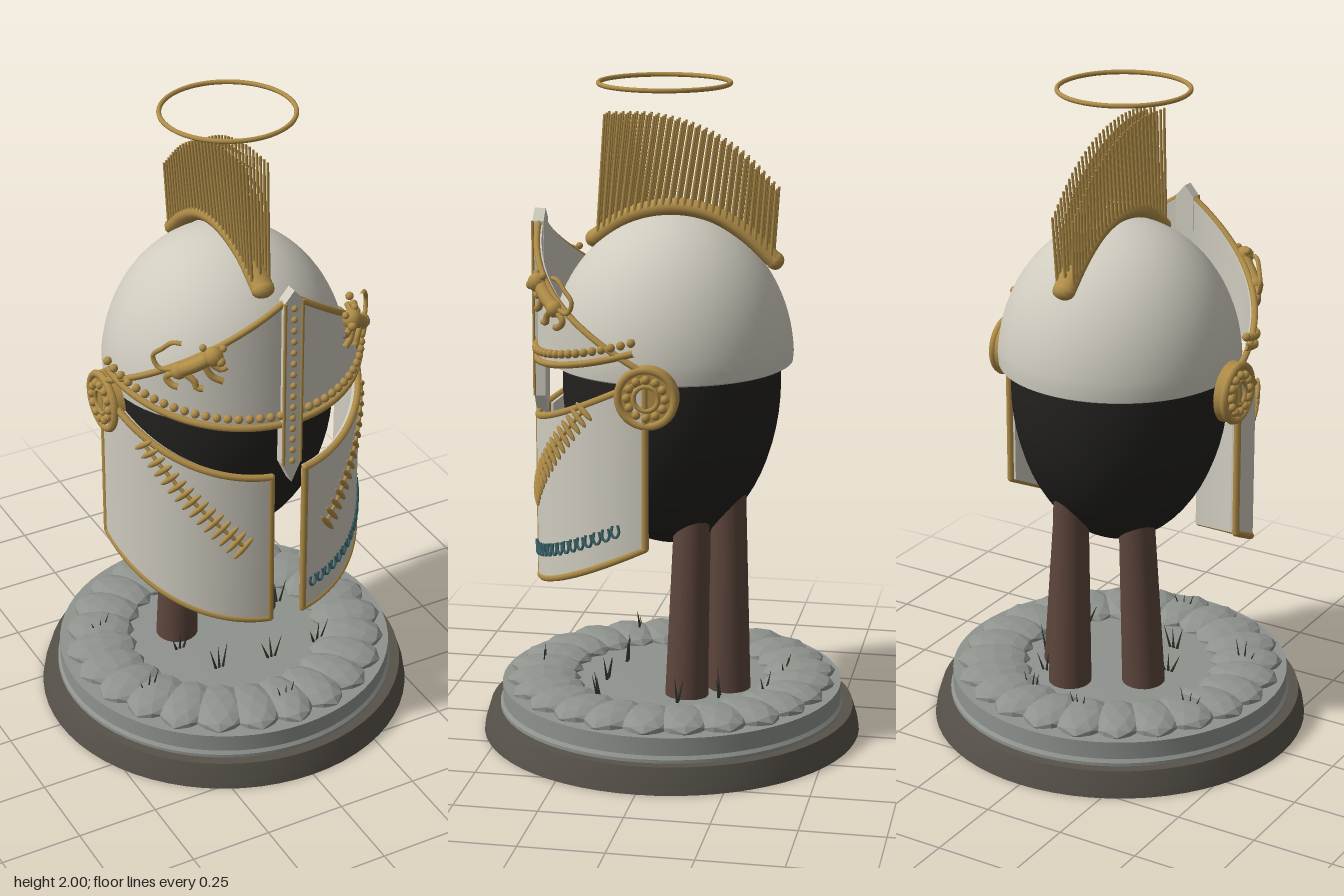
import * as THREE from 'three';
import { toCreasedNormals } from 'three/addons/utils/BufferGeometryUtils.js';

const mat = (color, extra = {}) => {
  const m = new THREE.MeshStandardMaterial(extra);
  m.color.set(color);
  return m;
};
const V = (x, y, z) => new THREE.Vector3(x, y, z);
const UP = V(0, 1, 0);

// Point on the curved face armour: angle t from the front, height y, radius r
const on = (t, y, r) => V(r * Math.sin(t), y, r * Math.cos(t));

// Curved plate with thickness between two height rules
function plateGeometry(t0, t1, bottom, top, rOut, thick, n = 28) {
  const pos = [], idx = [];
  for (let i = 0; i <= n; i++) {
    const t = t0 + ((t1 - t0) * i) / n, b = bottom(t), h = Math.max(top(t), b + 0.002);
    for (const [y, r] of [[b, rOut], [h, rOut], [h, rOut - thick], [b, rOut - thick]]) pos.push(...on(t, y, r).toArray());
    if (i < n) for (let j = 0; j < 4; j++) {
      const a = i * 4 + j, b2 = i * 4 + ((j + 1) % 4);
      idx.push(a, a + 4, b2 + 4, a, b2 + 4, b2);
    }
  }
  const e = n * 4;
  idx.push(0, 1, 2, 0, 2, 3, e, e + 2, e + 1, e, e + 3, e + 2);
  const g = new THREE.BufferGeometry();
  g.setAttribute('position', new THREE.Float32BufferAttribute(pos, 3));
  g.setIndex(idx);
  return toCreasedNormals(g, 0.6);
}

export function createModel() {
  const model = new THREE.Group();
  const ivory = mat(0xcfcbbf), gold = mat(0xb08d48), dark = mat(0x22211f), wood = mat(0x5c453b);
  const stone = mat(0x8f938e), rock = mat(0x8f938e, { flatShading: true }), plinth = mat(0x58534b);
  const teal = mat(0x3d686e), green = mat(0x34382c);
  let seed = 7;
  const rand = () => (seed = (seed * 16807) % 2147483647) / 2147483647;

  const add = (name, geo, m, parent = model) => {
    const mesh = new THREE.Mesh(geo, m);
    mesh.name = name;
    parent.add(mesh);
    return mesh;
  };
  const group = (name) => {
    const g = new THREE.Group();
    g.name = name;
    model.add(g);
    return g;
  };
  const tube = (name, pts, r, m, parent, sides = 7) =>
    add(name, new THREE.TubeGeometry(new THREE.CatmullRomCurve3(pts), Math.max(12, pts.length * 3), r, sides), m, parent);
  const ball = (name, p, r, m, parent) => {
    const b = add(name, new THREE.SphereGeometry(r, 10, 8), m, parent);
    b.position.copy(p);
    return b;
  };
  const lathe = (name, pts, m, seg = 64) =>
    add(name, toCreasedNormals(new THREE.LatheGeometry(pts.map((p) => new THREE.Vector2(...p)), seg), 0.5), m);
  // Tapered rod between two points
  const rod = (name, a, b, ra, rb, m, parent, sides = 6) => {
    const o = add(name, new THREE.CylinderGeometry(rb, ra, a.distanceTo(b), sides), m, parent);
    o.position.copy(a).add(b).multiplyScalar(0.5);
    o.quaternion.setFromUnitVectors(UP, b.clone().sub(a).normalize());
    return o;
  };
  const arc = (t0, t1, f, r, n = 20) =>
    Array.from({ length: n + 1 }, (_, i) => { const t = t0 + ((t1 - t0) * i) / n; return on(t, f(t), r); });

  // Stepped round base
  lathe('plinth', [[0, 0], [0.58, 0], [0.575, 0.03], [0.56, 0.08], [0, 0.08]], plinth);
  lathe('baseStep', [[0, 0.08], [0.53, 0.08], [0.53, 0.09], [0.522, 0.1], [0.522, 0.155], [0, 0.165]], stone);

  // Ring of flat stones
  const stones = group('stoneRing');
  for (let i = 0; i < 24; i++) {
    const a = (i / 24) * Math.PI * 2;
    const s = add('stone', new THREE.IcosahedronGeometry(1, 1), rock, stones);
    s.scale.set(0.078 + rand() * 0.012, 0.036, 0.108 + rand() * 0.01);
    s.position.set(Math.sin(a) * 0.395, 0.16, Math.cos(a) * 0.395);
    s.rotation.y = a + (rand() - 0.5) * 0.2;
  }

  // Grass tufts
  const grass = group('grass');
  for (let i = 0; i < 11; i++) {
    const a = i * 2.4, r = 0.12 + 0.3 * rand();
    for (let k = 0; k < 3; k++) {
      const p = V(Math.sin(a) * r + (k - 1) * 0.012, 0.16, Math.cos(a) * r);
      rod('blade', p, p.clone().add(V((k - 1) * 0.02, 0.05 + rand() * 0.035, (rand() - 0.5) * 0.03)), 0.005, 0.0005, green, grass, 4);
    }
  }

  // Three legs
  for (const [x, z, tx, tz] of [[-0.13, -0.075, -0.105, -0.085], [0.155, -0.075, 0.115, -0.085], [0.065, -0.19, 0.06, -0.185]])
    rod('leg', V(x, 0.16, z), V(tx, 0.8, tz), 0.066, 0.052, wood, model, 20);

  // Dark egg-shaped body
  const body = add('body', new THREE.SphereGeometry(1, 48, 32), dark);
  body.scale.set(0.328, 0.5, 0.328);
  body.position.y = 1.1;

  // Helmet dome with rolled lip
  const dome = [[0.325, 1.19], [0.335, 1.168], [0.352, 1.162], [0.363, 1.168]];
  for (let i = 1; i <= 24; i++) {
    const a = (i / 24) * Math.PI / 2;
    dome.push([0.366 * Math.cos(a), 1.17 + 0.435 * Math.sin(a)]);
  }
  lathe('dome', dome, ivory);

  // Crest ridge and bristles
  const crestCurve = new THREE.CatmullRomCurve3([[1.525, 0.235], [1.595, 0.13], [1.627, 0], [1.61, -0.12], [1.555, -0.22], [1.475, -0.31]].map(([y, z]) => V(0, y, z)));
  const crest = group('crest');
  const ridge = add('crestRidge', new THREE.TubeGeometry(crestCurve, 40, 0.026, 12), gold, crest);
  ridge.scale.x = 1.35;
  for (const u of [0, 1]) {
    const cap = ball('ridgeEnd', crestCurve.getPointAt(u), 0.027, gold, crest);
    cap.scale.x = 1.35;
  }
  const tips = new THREE.CatmullRomCurve3([[1.9, 0.195], [1.9, 0.06], [1.87, -0.07], [1.8, -0.2], [1.69, -0.315]].map(([y, z]) => V(0, y, z)));
  for (const x of [-0.034, 0, 0.034])
    for (let i = 0; i < 28; i++) {
      const a = crestCurve.getPointAt(0.03 + 0.95 * i / 27), b = tips.getPointAt(i / 27);
      a.x = x * 0.8;
      b.x = x;
      rod('bristle', a, b, 0.0055, 0.004, gold, crest, 5);
    }

  // Floating ring
  const halo = add('halo', new THREE.TorusGeometry(0.194, 0.007, 10, 64), gold);
  halo.rotation.x = Math.PI / 2;
  halo.position.set(0, 1.993, 0.022);

  // Visor plate with rims and studs
  const R = 0.4;
  const visorTop = (t) => { const a = Math.abs(t); return 1.585 - 0.27 * a + 0.02 * a * a; };
  const visorBottom = (t) => 1.172 + 0.045 * t * t;
  const visor = group('visor');
  add('visorPlate', plateGeometry(-1.33, 1.33, visorBottom, visorTop, R, 0.014, 56), ivory, visor);
  tube('visorLowerRim', arc(-1.48, 1.48, visorBottom, R + 0.003, 36), 0.011, gold, visor);
  for (const s of [-1, 1]) tube('visorUpperRim', arc(0.05 * s, 1.55 * s, visorTop, R), 0.01, gold, visor);
  for (let i = -19; i <= 19; i++) {
    const t = i * 0.077;
    ball('visorStud', on(t, visorBottom(t) + 0.032, R + 0.006), 0.013, gold, visor);
  }

  // Nose guard
  const nose = group('noseGuard');
  const ns = new THREE.Shape([[0, 0.975], [0.03, 1.04], [0.03, 1.575], [0, 1.61], [-0.03, 1.575], [-0.03, 1.04]].map((p) => new THREE.Vector2(...p)));
  add('noseBar', new THREE.ExtrudeGeometry(ns, { depth: 0.034, bevelEnabled: false }), ivory, nose).position.z = 0.383;
  for (const s of [-1, 1])
    rod('noseRim', V(s * 0.028, 1.04, 0.417), V(s * 0.028, 1.575, 0.417), 0.005, 0.005, gold, nose);
  for (let i = 0; i < 15; i++) ball('noseStud', V(0, 1.05 + i * 0.036, 0.418), 0.01, gold, nose);

  // Cheek plates, side rosettes and ornaments
  const cheekTop = (t) => 0.995 + 0.2 * (1 - Math.cos(t));
  const cheekBottom = (t) => 0.492 + 0.2 * (1 - Math.cos(t));
  for (const s of [-1, 1]) {
    const side = s > 0 ? 'left' : 'right';
    const cheek = group(side + 'Cheek');
    const t0 = 0.14, t1 = 1.56, Rc = 0.407;
    add('cheekPlate', plateGeometry(s > 0 ? t0 : -t1, s > 0 ? t1 : -t0, cheekBottom, cheekTop, Rc, 0.024), ivory, cheek);
    for (const f of [cheekTop, cheekBottom]) tube('cheekRim', arc(s * t0, s * t1, f, Rc - 0.006), 0.011, gold, cheek);
    for (const t of [t0, t1]) {
      const ends = [cheekBottom, cheekTop].map((f) => on(s * t, f(t), Rc - 0.006));
      rod('cheekEdge', ends[0], ends[1], 0.011, 0.011, gold, cheek, 8);
      ends.forEach((p) => ball('cheekCorner', p, 0.011, gold, cheek));
    }

    // Diagonal spray of leaves
    const stem = [];
    for (let i = 0; i < 15; i++) {
      const k = i / 14, t = 1.08 - 0.74 * k, y = 1.085 - 0.315 * k, len = 0.026 + 0.016 * k;
      stem.push(on(s * t, y, Rc + 0.004));
      const a = on(s * (t - 0.05), y + len * 0.7, Rc + 0.006), b = on(s * (t + 0.07), y - len * 0.8, Rc + 0.006);
      const leaf = ball('leaf', a.clone().add(b).multiplyScalar(0.5), 1, gold, cheek);
      leaf.scale.set(0.009, a.distanceTo(b) / 2 + 0.006, 0.009);
      leaf.quaternion.setFromUnitVectors(UP, a.sub(b).normalize());
    }
    tube('leafStem', stem, 0.006, gold, cheek);

    // Small curls along the lower edge, left side only
    if (s > 0) for (let i = 0; i < 16; i++) {
      const t = 0.22 + i * 0.075, y = cheekBottom(t) + 0.085;
      tube('tealCurl', [[-0.025, 0.022], [-0.03, -0.004], [0, -0.014], [0.026, 0.002], [0.016, 0.026]].map(([dt, dy]) => on(t + dt, y + dy, Rc + 0.004)), 0.0045, teal, cheek, 5);
    }

    // Round side rosette
    const rosette = new THREE.Group();
    rosette.name = side + 'Rosette';
    rosette.position.set(s * 0.388, 1.14, 0);
    rosette.rotation.y = s * Math.PI / 2;
    model.add(rosette);
    add('disc', new THREE.CylinderGeometry(0.088, 0.092, 0.034, 32), gold, rosette).rotation.x = Math.PI / 2;
    add('discRim', new THREE.TorusGeometry(0.083, 0.012, 8, 36), gold, rosette).position.z = 0.014;
    add('innerRing', new THREE.TorusGeometry(0.036, 0.007, 8, 24), gold, rosette).position.z = 0.02;
    for (let i = 0; i < 12; i++) {
      const a = (i / 12) * Math.PI * 2;
      ball('petal', V(Math.cos(a) * 0.056, Math.sin(a) * 0.056, 0.022), 0.013, gold, rosette);
    }

    // Small climbing animal figure on the visor
    const fig = group(side + 'AnimalFigure');
    const at = (x, y, lift = 0.016) => on(s * Math.asin(x / R), y, R + lift);
    ball('head', at(0.212, 1.43, 0.022), 0.029, gold, fig);
    ball('muzzle', at(0.195, 1.42, 0.036), 0.014, gold, fig);
    for (const x of [0.19, 0.236]) ball('ear', at(x, 1.452), 0.011, gold, fig);
    tube('torso', [at(0.222, 1.42), at(0.252, 1.395), at(0.285, 1.37)], 0.021, gold, fig, 10);
    ball('haunch', at(0.287, 1.368), 0.025, gold, fig);
    for (const pts of [
      [[0.225, 1.41], [0.195, 1.385], [0.18, 1.395]],
      [[0.235, 1.4], [0.215, 1.36], [0.19, 1.345]],
      [[0.28, 1.365], [0.255, 1.34], [0.25, 1.32], [0.235, 1.318]],
      [[0.29, 1.365], [0.312, 1.34], [0.3, 1.318], [0.288, 1.315]],
    ]) tube('limb', pts.map((q) => at(...q)), 0.01, gold, fig);
    tube('tail', [[0.295, 1.37], [0.325, 1.365], [0.335, 1.4], [0.318, 1.43], [0.3, 1.455], [0.28, 1.458]].map((q) => at(...q)), 0.007, gold, fig);
  }
  return model;
}
